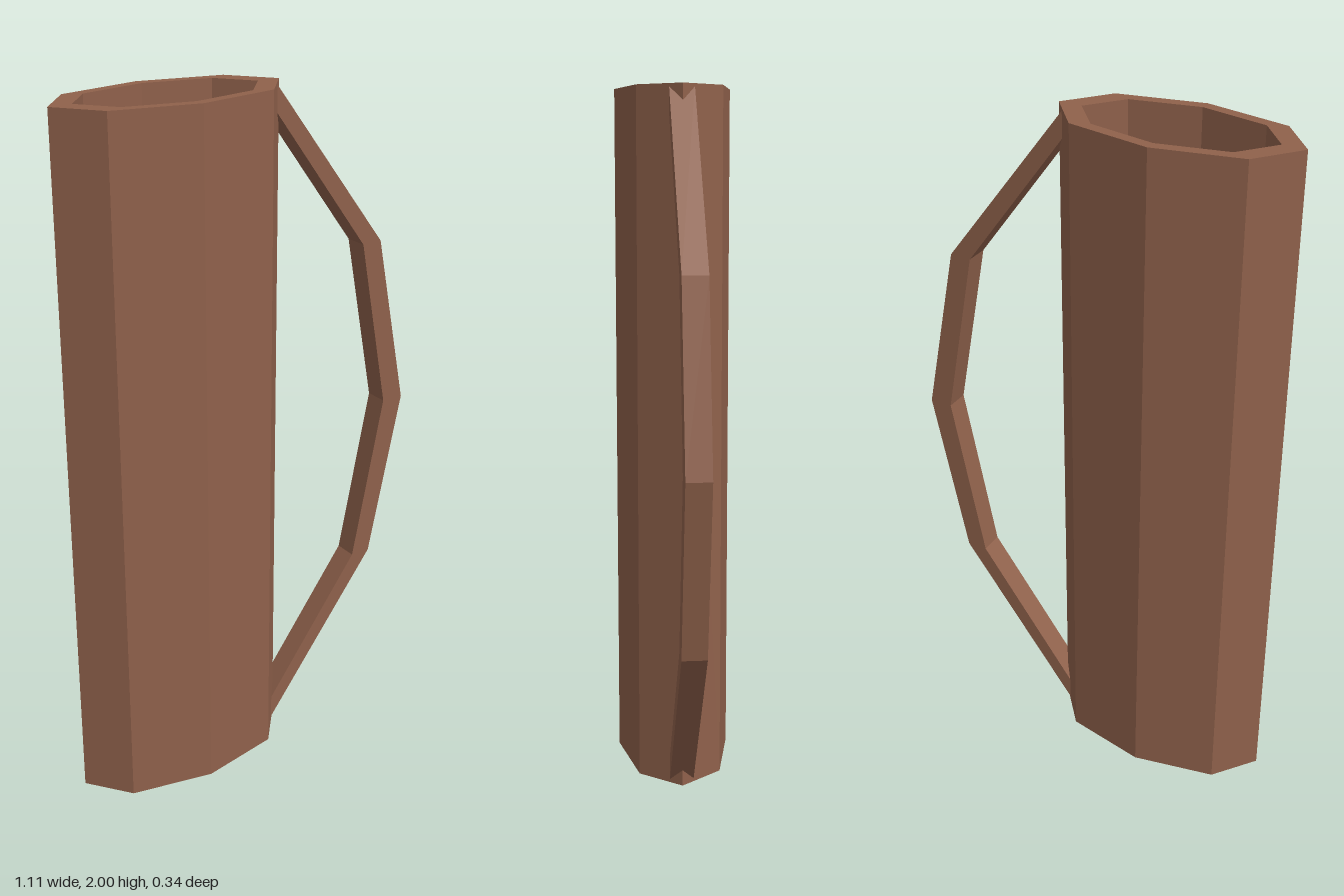
import * as THREE from 'three';

const HEIGHT = 2, FLOOR = 0.06, CENTRE = -0.22;

// Eight-sided flattened outline from half sizes: [tip x], [shoulder x, z], [mid z]
function outline(tip, shoulderX, shoulderZ, midZ) {
  return [
    [tip, 0], [shoulderX, shoulderZ], [0, midZ], [-shoulderX, shoulderZ],
    [-tip, 0], [-shoulderX, -shoulderZ], [0, -midZ], [shoulderX, -shoulderZ],
  ].map(([x, z]) => new THREE.Vector2(CENTRE + x, z));
}

export function createModel() {
  const group = new THREE.Group();
  const leather = new THREE.MeshStandardMaterial({ color: 0x8f614b, flatShading: true });

  const add = (name, geometry) => {
    const mesh = new THREE.Mesh(geometry, leather);
    mesh.name = name;
    group.add(mesh);
  };

  const outer = outline(0.336, 0.239, 0.12, 0.168);
  const inner = outline(0.27, 0.19, 0.098, 0.137);

  // Hollow tube wall, open at the top
  const wall = new THREE.Shape(outer);
  wall.holes.push(new THREE.Path(inner));
  add('tubeWall', new THREE.ExtrudeGeometry(wall, { depth: HEIGHT, bevelEnabled: false }).rotateX(-Math.PI / 2));

  // Closed bottom: inside floor and underside
  const bottom = new THREE.Shape(inner);
  add('insideFloor', new THREE.ShapeGeometry(bottom).rotateX(-Math.PI / 2).translate(0, FLOOR, 0));
  add('underside', new THREE.ShapeGeometry(bottom).rotateX(Math.PI / 2));

  // Angular carrying strap, bowed out on the left side
  const outerEdge = [[0.083, 0.003], [0.452, 0.502], [0.556, 1.005], [0.452, 1.512], [0.083, 1.998]];
  const innerEdge = [[0.083, 1.925], [0.39, 1.51], [0.488, 1.005], [0.39, 0.502], [0.083, 0.075]];
  const strap = new THREE.Shape([...outerEdge, ...innerEdge].map(([x, y]) => new THREE.Vector2(x, y)));
  add('strap', new THREE.ExtrudeGeometry(strap, { depth: 0.07, bevelEnabled: false }).translate(0, 0, -0.035));

  return group;
}
